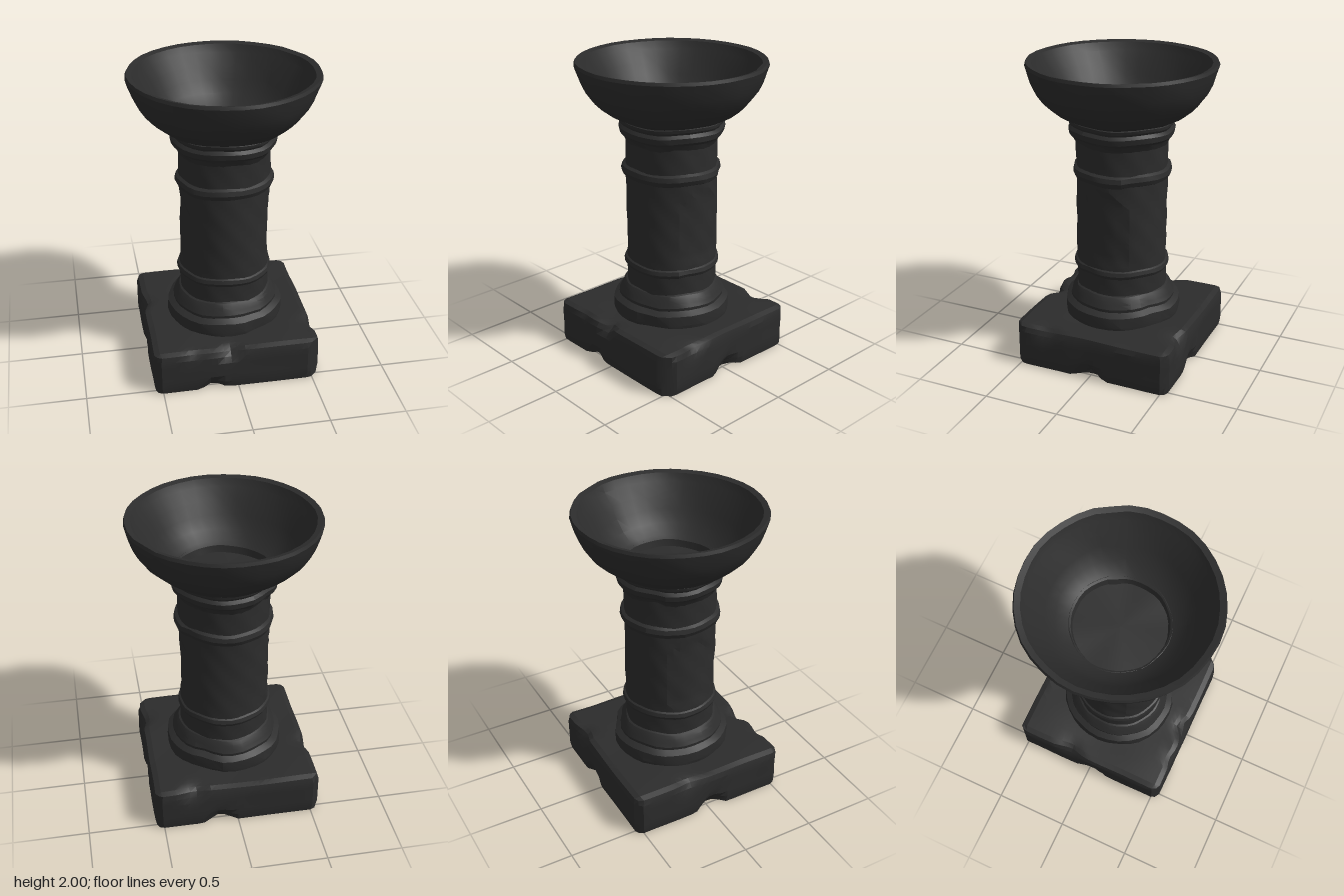
import * as THREE from 'three';
import { toCreasedNormals } from 'three/addons/utils/BufferGeometryUtils.js';

const darkStone = new THREE.MeshStandardMaterial({ color: 0x2c2c2c });
darkStone.name = 'darkStone';

// Smooth, repeatable unevenness around the column, about -1..1
const rough = (a, y) =>
  0.45 * Math.sin(3 * a + 7 * y + 1) + 0.3 * Math.sin(7 * a - 19 * y) + 0.25 * Math.sin(11 * a + 31 * y + 2);

// Moves every vertex of a geometry by a rule, then keeps the chiselled edges sharp
function carve(geometry, rule) {
  const pos = geometry.attributes.position;
  const v = new THREE.Vector3();
  for (let i = 0; i < pos.count; i++) {
    v.fromBufferAttribute(pos, i);
    rule(v);
    pos.setXYZ(i, v.x, v.y, v.z);
  }
  return toCreasedNormals(geometry, 0.3);
}

function addPart(group, name, geometry) {
  const mesh = new THREE.Mesh(geometry, darkStone);
  mesh.name = name;
  group.add(mesh);
}

// Weathered turned part: profile is [radius, y] from the bottom up;
// wear(angle, y) gives the extra depth cut away at a spot
function turned(profile, amount, sides, wear) {
  const points = profile.map(([r, y]) => new THREE.Vector2(r, y));
  return carve(new THREE.LatheGeometry(points, sides), (v) => {
    const r = Math.hypot(v.x, v.z);
    if (r < 0.01) return;
    const a = Math.atan2(v.x, v.z);
    const k = 1 + (amount * rough(a, v.y) - wear(a, v.y)) / r;
    v.y += 0.6 * amount * Math.sin(5 * a + 3 * r + 1) * (v.y < 1.95 ? 1 : 0);
    v.x *= k;
    v.z *= k;
  });
}

// Wedge-shaped chips, each [angle, half width, depth]
const chips = (list) => (a) =>
  list.reduce((sum, [angle, width, depth]) => {
    const d = Math.abs(Math.atan2(Math.sin(a - angle), Math.cos(a - angle)));
    return sum + (d < width ? depth * (1 - d / width) : 0);
  }, 0);

// Shallow arched niches on the left and right of the shaft
function niche(a, y) {
  const s = (Math.abs(a) - Math.PI / 2) * 0.297;
  const inside = y > 1.05 ? Math.hypot(s, y - 1.05) < 0.14 : y > 0.72 && Math.abs(s) < 0.13;
  return inside ? 0.008 : 0;
}

// Square plinth with worn corners and broken edges
function plinthGeometry() {
  const h = 0.292;
  // Notch centres [x, y, z], reach, depth
  const notches = [
    [-0.17, 0, 0.55, 0.09, 0.04], [-0.05, h, 0.55, 0.11, 0.05],
    [0.56, 0, 0, 0.12, 0.06], [-0.56, 0, 0.02, 0.12, 0.06],
    [0.12, 0, -0.55, 0.12, 0.05], [0.56, h, 0.3, 0.12, 0.03],
    [-0.56, h, -0.15, 0.12, 0.03], [-0.3, h, 0.55, 0.08, 0.02], [0.3, h, -0.55, 0.12, 0.04],
  ];
  const box = new THREE.BoxGeometry(1.12, h, 1.11, 24, 6, 24);
  return carve(box, (v) => {
    v.y += h / 2;
    const x0 = v.x, y0 = v.y, z0 = v.z;
    const side = Math.max(Math.abs(x0) / 0.56, Math.abs(z0) / 0.555);
    // Uneven sides, drawn in at top and bottom edges
    let inset = 0.004 * (1 + Math.sin(8 * x0 + 5 * z0) * Math.cos(9 * z0 - 14 * y0));
    if (side > 0.99 && (y0 < 0.01 || y0 > h - 0.01)) inset += 0.014;
    v.x *= 1 - inset * 1.4;
    v.z *= 1 - inset * 1.4;
    // Cut corners, the front left one the most
    const limit = x0 > 0 && z0 > 0 ? 1.03 : 1.06;
    const over = Math.abs(v.x) + Math.abs(v.z) - limit;
    if (over > 0) {
      v.x -= (Math.sign(v.x) * over) / 2;
      v.z -= (Math.sign(v.z) * over) / 2;
    }
    // Slightly rolling top
    if (y0 > h - 0.01) {
      v.y += 0.005 * Math.sin(9 * x0 + 2) * Math.cos(8 * z0);
      if (side > 0.99) v.y -= 0.012;
    }
    for (const [nx, ny, nz, reach, depth] of notches) {
      const d = Math.hypot(x0 - nx, y0 - ny, z0 - nz);
      if (d > reach) continue;
      const f = depth * (1 - d / reach);
      if (Math.abs(nx) > 0.5) v.x -= Math.sign(nx) * f;
      else v.z -= Math.sign(nz) * f;
      if (ny > 0) v.y -= 0.6 * f;
      else if (side > 0.99) v.y += 0.6 * f;
    }
  });
}

export function createModel() {
  const group = new THREE.Group();
  group.name = 'stonePedestalBowl';

  addPart(group, 'plinth', plinthGeometry());

  addPart(group, 'columnFoot', turned([
    [0.385, 0.27], [0.392, 0.31], [0.388, 0.375], [0.35, 0.4], [0.352, 0.42],
    [0.338, 0.445], [0.325, 0.47], [0.31, 0.49], [0.28, 0.505],
  ], 0.008, 32, chips([[0.4, 0.3, 0.015], [2.6, 0.3, 0.015]])));

  const shaft = [];
  for (let y = 0.46; y < 1.53; y += 0.04) shaft.push([0.298, y]);
  addPart(group, 'shaft', turned(shaft, 0.006, 44, niche));

  addPart(group, 'lowerRing', turned([
    [0.285, 0.605], [0.308, 0.62], [0.317, 0.64], [0.31, 0.665], [0.285, 0.68],
  ], 0.006, 32, chips([[1.2, 0.2, 0.01]])));

  addPart(group, 'upperRing', turned([
    [0.285, 1.24], [0.312, 1.255], [0.325, 1.285], [0.318, 1.315], [0.285, 1.335],
  ], 0.007, 32, chips([[0.3, 0.12, 0.025], [2.2, 0.15, 0.015], [-1.9, 0.15, 0.015]])));

  addPart(group, 'capital', turned([
    [0.288, 1.46], [0.3, 1.485], [0.318, 1.52], [0.338, 1.54], [0.344, 1.575],
    [0.328, 1.595], [0.338, 1.61], [0.342, 1.63], [0.315, 1.645],
  ], 0.007, 32, chips([[0.9, 0.2, 0.01], [-2.4, 0.25, 0.012]])));

  // Bowl: outer wall, rim, steep lip, inner slope, then the sunken round floor
  addPart(group, 'bowl', turned([
    [0.31, 1.625], [0.345, 1.637], [0.42, 1.675], [0.47, 1.715], [0.51, 1.755], [0.55, 1.81],
    [0.58, 1.87], [0.602, 1.935], [0.614, 1.98], [0.606, 2], [0.57, 1.99], [0.545, 1.94],
    [0.492, 1.865], [0.45, 1.785], [0.395, 1.71], [0.335, 1.655], [0.302, 1.635],
    [0.292, 1.59], [0, 1.59],
  ], 0.005, 36, chips([[2.1, 0.18, 0.008]])));

  return group;
}
